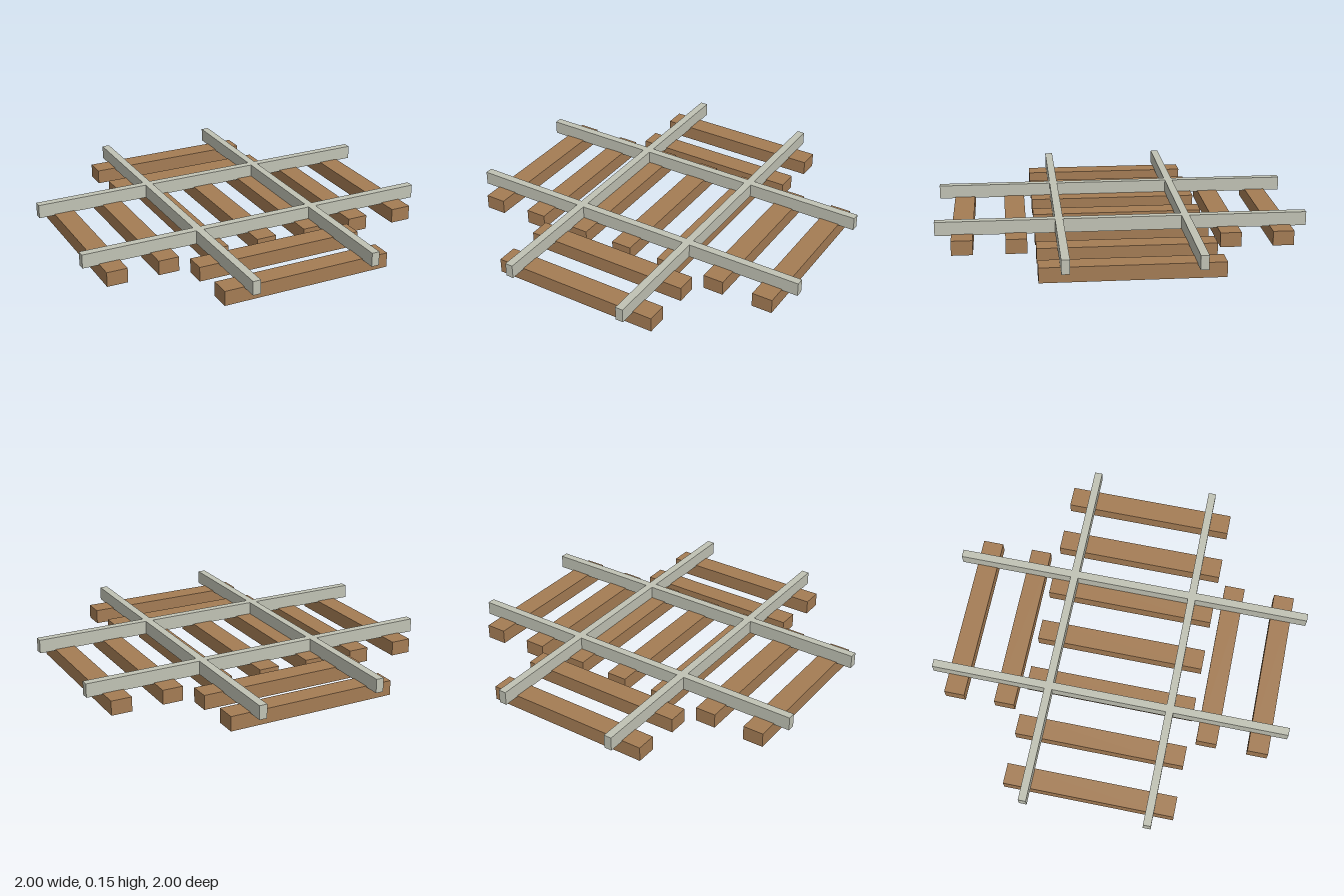
import * as THREE from 'three';

export function createModel() {
  const group = new THREE.Group();
  group.name = 'railCrossing';
  const wood = new THREE.MeshStandardMaterial({ color: 0xa47c54 });
  const steel = new THREE.MeshStandardMaterial({ color: 0xc0c2b4 });

  const tieGeometry = new THREE.BoxGeometry(0.114, 0.08, 0.94);
  const railGeometry = new THREE.BoxGeometry(2, 0.076, 0.043);
  const spacing = 0.285;

  function addPart(parent, name, geometry, material, x, y, z) {
    const mesh = new THREE.Mesh(geometry, material);
    mesh.name = name;
    mesh.position.set(x, y, z);
    parent.add(mesh);
  }

  // One straight track along x: two rails over the ties at the given steps
  function makeTrack(name, steps) {
    const track = new THREE.Group();
    track.name = name;
    for (const i of steps) addPart(track, 'tie', tieGeometry, wood, i * spacing, 0.04, 0);
    for (const side of [-1, 1]) addPart(track, 'rail', railGeometry, steel, 0, 0.112, side * 0.34);
    group.add(track);
    return track;
  }

  // The main track carries the ties under the middle; the crossing track has only outer ties
  makeTrack('mainTrack', [-3, -2, -1, 0, 1, 2, 3]);
  makeTrack('crossTrack', [-3, -2, 2, 3]).rotation.y = Math.PI / 2;

  return group;
}
